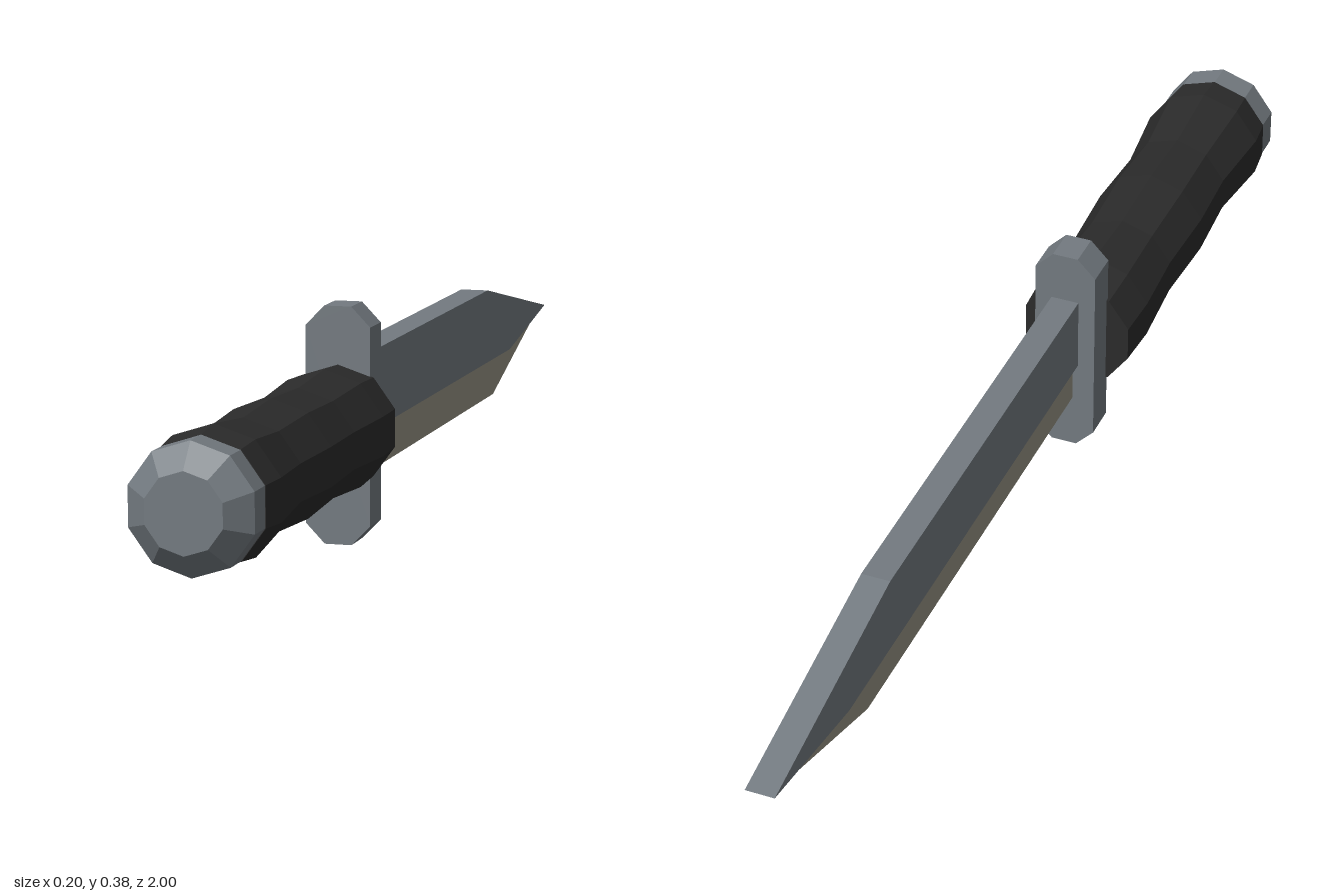
import * as THREE from 'three';

const steel = new THREE.MeshStandardMaterial({ color: 0x737a80 });
steel.name = 'steel';
const edgeSteel = new THREE.MeshStandardMaterial({ color: 0x979384 });
edgeSteel.name = 'paleEdgeSteel';
const rubber = new THREE.MeshStandardMaterial({ color: 0x2b2b2b });
rubber.name = 'blackRubber';

const AXIS_Y = 0.191;

// Ten-sided turned part along z from [radius, z] pairs, with faceted normals
function turned(name, profile, material) {
  const points = profile.map(([r, z]) => new THREE.Vector2(r, z));
  const geometry = new THREE.LatheGeometry(points, 10).rotateX(Math.PI / 2).toNonIndexed();
  geometry.computeVertexNormals();
  const mesh = new THREE.Mesh(geometry, material);
  mesh.name = name;
  mesh.position.y = AXIS_Y;
  return mesh;
}

// Flat plate of the given thickness, centred on its own plane
function plate(name, outline, thickness, material) {
  const shape = new THREE.Shape(outline.map(([x, y]) => new THREE.Vector2(x, y)));
  const geometry = new THREE.ExtrudeGeometry(shape, { depth: thickness, bevelEnabled: false });
  geometry.translate(0, 0, -thickness / 2);
  const mesh = new THREE.Mesh(geometry, material);
  mesh.name = name;
  return mesh;
}

export function createModel() {
  const knife = new THREE.Group();
  knife.name = 'knife';

  // Wavy grip and bevelled pommel
  knife.add(turned('grip', [
    [0, 0.25], [0.097, 0.25], [0.101, 0.33], [0.093, 0.46], [0.099, 0.6],
    [0.092, 0.73], [0.106, 0.865], [0.1, 0.92], [0, 0.92],
  ], rubber));
  knife.add(turned('pommel', [
    [0, 0.915], [0.099, 0.915], [0.099, 0.967], [0.061, 1], [0, 1],
  ], steel));

  // Cross guard with clipped corners
  const w = 0.053, n = 0.022, h = 0.381, c = 0.032;
  const guard = plate('guard', [
    [-n, 0], [n, 0], [w, c], [w, h - c], [n, h], [-n, h], [-w, h - c], [-w, c],
  ], 0.06, steel);
  guard.position.z = 0.225;
  knife.add(guard);

  // Blade body and thinner cutting edge, drawn with -z along the outline's x
  const body = plate('bladeBody', [
    [-0.2, 0.165], [0.74, 0.165], [1, 0.21], [0.58, 0.294], [-0.2, 0.294],
  ], 0.048, steel);
  const edge = plate('bladeEdge', [
    [-0.2, 0.096], [0.655, 0.096], [0.995, 0.209], [0.74, 0.18], [-0.2, 0.18],
  ], 0.03, edgeSteel);
  for (const part of [body, edge]) {
    part.rotation.y = Math.PI / 2;
    knife.add(part);
  }
  return knife;
}
